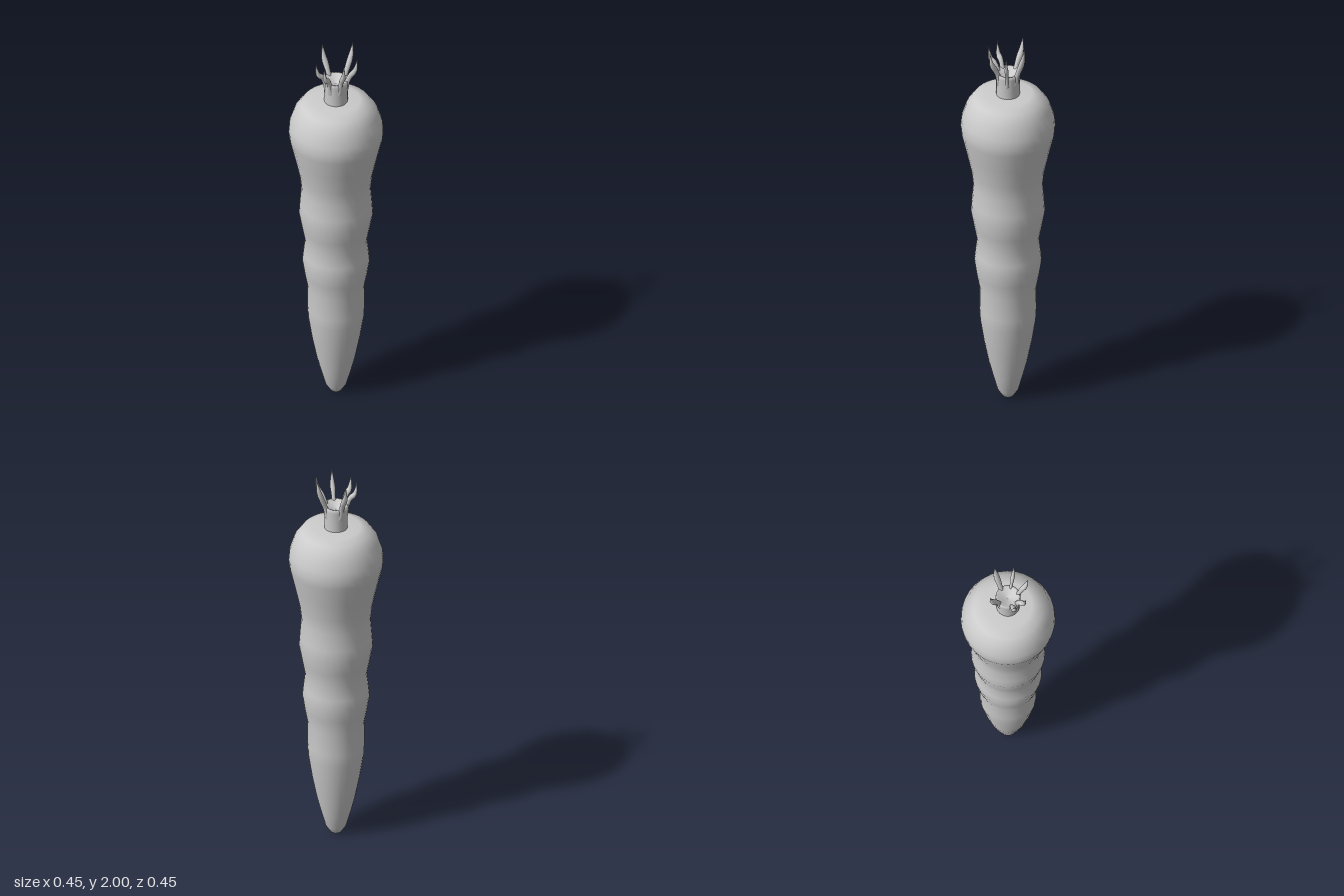
import * as THREE from 'three';

const material = new THREE.MeshStandardMaterial({ color: 0xcccccc, side: THREE.DoubleSide });

function lathe(name, profile, segments) {
  const points = profile.map(([r, y]) => new THREE.Vector2(r, y));
  const mesh = new THREE.Mesh(new THREE.LatheGeometry(points, segments), material);
  mesh.name = name;
  return mesh;
}

// A cut stalk: elliptical rings lofted along a curve that leans outward to its tip
function stalk(name, x, y, z, width) {
  const reach = Math.hypot(x, z);
  const out = new THREE.Vector3(x / reach, 0, z / reach);
  const side = new THREE.Vector3().crossVectors(out, new THREE.Vector3(0, 1, 0));
  const at = (r, h) => out.clone().multiplyScalar(r).setY(h);
  const path = new THREE.CatmullRomCurve3([
    at(0.038, 1.76), at(0.05, 1.81), at(0.068, 1.86), at(reach * 0.86, y - 0.07), at(reach * 0.97, y),
  ]);
  // half width and half thickness from root to tip
  const sections = [
    [0.022, 0.016], [0.02, 0.017], [0.014, 0.015], [0.012, 0.012], [0.012, 0.012],
    [0.014, 0.013], [0.015, 0.013], [0.012, 0.01], [0.007, 0.005], [0, 0],
  ];
  const sides = 12, positions = [], index = [];
  sections.forEach(([w, d], i) => {
    const t = i / (sections.length - 1);
    const centre = path.getPoint(t);
    const normal = new THREE.Vector3().crossVectors(path.getTangent(t), side);
    for (let j = 0; j < sides; j++) {
      const a = (j / sides) * Math.PI * 2;
      const p = centre.clone()
        .addScaledVector(side, Math.cos(a) * w * width)
        .addScaledVector(normal, Math.sin(a) * d);
      positions.push(p.x, p.y, p.z);
      if (i === 0) continue;
      const k = (j + 1) % sides, lo = (i - 1) * sides, hi = i * sides;
      index.push(lo + j, lo + k, hi + k, lo + j, hi + k, hi + j);
    }
  });
  const geometry = new THREE.BufferGeometry();
  geometry.setAttribute('position', new THREE.Float32BufferAttribute(positions, 3));
  geometry.setIndex(index);
  geometry.computeVertexNormals();
  const mesh = new THREE.Mesh(geometry, material);
  mesh.name = name;
  return mesh;
}

export function createModel() {
  const carrot = new THREE.Group();
  carrot.name = 'carrot';

  // Tapering root with shallow bulges
  carrot.add(lathe('root', [
    [0, 0], [0.028, 0.003], [0.05, 0.04], [0.072, 0.12], [0.092, 0.2], [0.115, 0.32], [0.133, 0.44],
    [0.136, 0.5], [0.135, 0.62], [0.15, 0.7], [0.16, 0.77], [0.155, 0.82], [0.147, 0.89],
    [0.162, 0.97], [0.176, 1.05], [0.172, 1.11], [0.165, 1.2], [0.174, 1.28], [0.198, 1.39],
    [0.221, 1.49], [0.225, 1.53], [0.221, 1.575], [0.2, 1.64], [0.165, 1.69], [0.115, 1.71], [0, 1.708],
  ], 32));

  // Short stem with a slightly hollow, flared top
  carrot.add(lathe('stem', [
    [0.056, 1.7], [0.056, 1.78], [0.06, 1.815], [0.058, 1.832], [0.05, 1.832], [0.028, 1.815], [0, 1.805],
  ], 24));

  // Cut stalks around the stem: tip x, y, z and relative width
  const stalks = new THREE.Group();
  stalks.name = 'stalks';
  [
    [0.015, 2.0, -0.107, 1],
    [0.095, 1.97, -0.052, 0.65],
    [0.094, 1.97, 0.045, 0.85],
    [0.015, 1.95, 0.104, 0.95],
    [-0.047, 1.95, 0.094, 0.9],
    [-0.106, 1.98, -0.018, 1],
  ].forEach(([x, y, z, w], i) => stalks.add(stalk(`stalk${i + 1}`, x, y, z, w)));
  carrot.add(stalks);

  return carrot;
}
